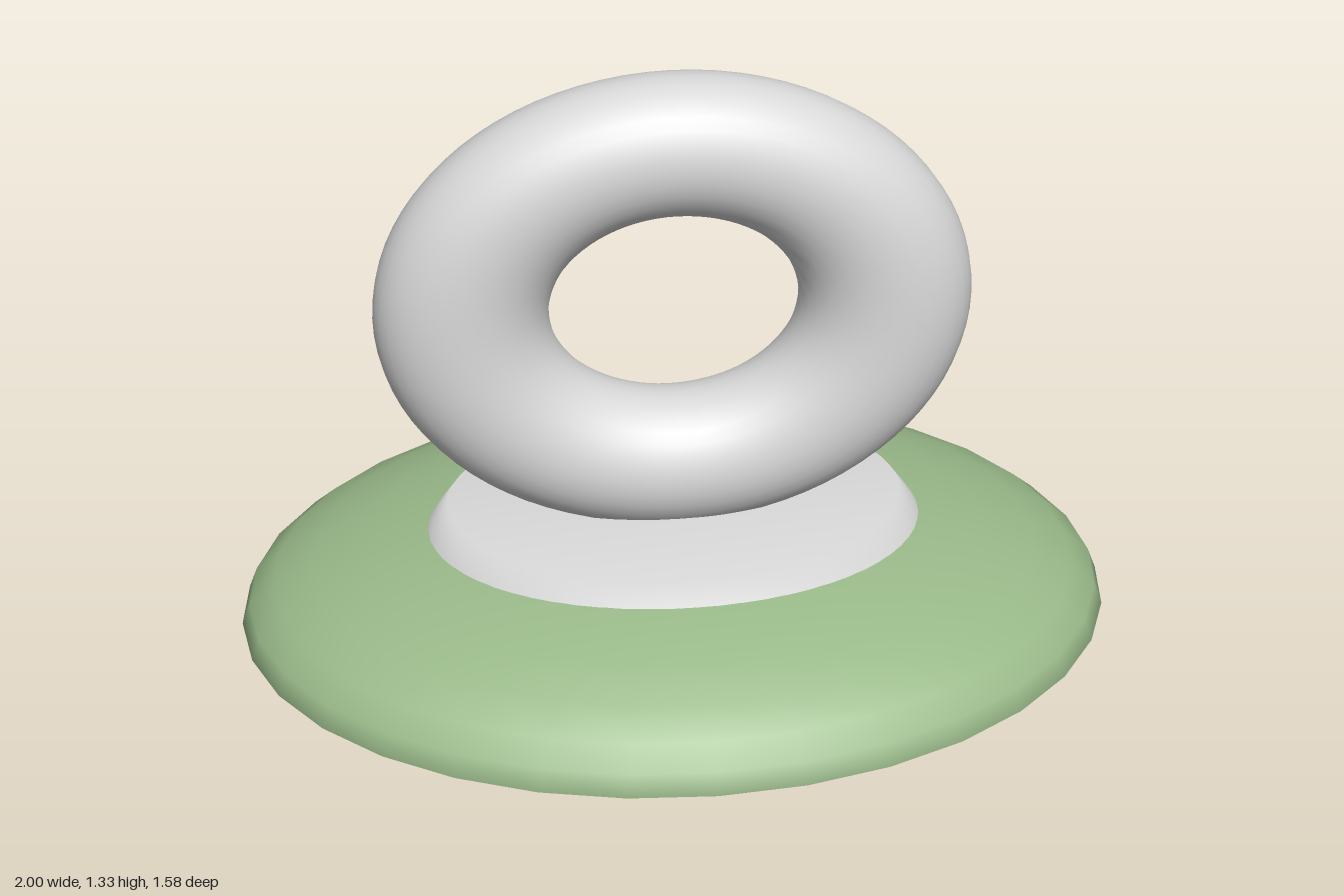
import * as THREE from 'three';

export function createModel() {
  const model = new THREE.Group();
  const green = new THREE.MeshStandardMaterial({ color: 0x9aba8a, side: THREE.DoubleSide });
  green.name = 'sage green';
  const grey = new THREE.MeshStandardMaterial({ color: 0xd9d9d9 });
  grey.name = 'light grey';

  const add = (name, geometry, material) => {
    const mesh = new THREE.Mesh(geometry, material);
    mesh.name = name;
    model.add(mesh);
    return mesh;
  };

  // Open, hollow flattened dome
  const dome = new THREE.SphereGeometry(1, 32, 8, 0, Math.PI * 2, 0, Math.PI / 2);
  add('domeBase', dome.scale(1, 0.26, 0.79), green);

  // Oval plinth with a sloping edge, softly shaded
  const depth = 0.405 / 0.57;
  const profile = [[0.57, 0.207], [0.52, 0.277], [0, 0.277]].map(([r, y]) => new THREE.Vector2(r, y));
  add('plinth', new THREE.LatheGeometry(profile, 64).scale(1, 1, depth), grey);

  // Underside of the plinth, seen from inside the dome
  const underside = new THREE.CircleGeometry(0.57, 64).rotateX(Math.PI / 2);
  add('plinthUnderside', underside.scale(1, 1, depth).translate(0, 0.207, 0), grey);

  // Upright ring, slightly wider than tall
  const ring = new THREE.TorusGeometry(0.475, 0.195, 32, 80);
  add('ring', ring.scale(1, 0.822, 0.785).translate(0, 0.777, 0), grey);

  return model;
}
